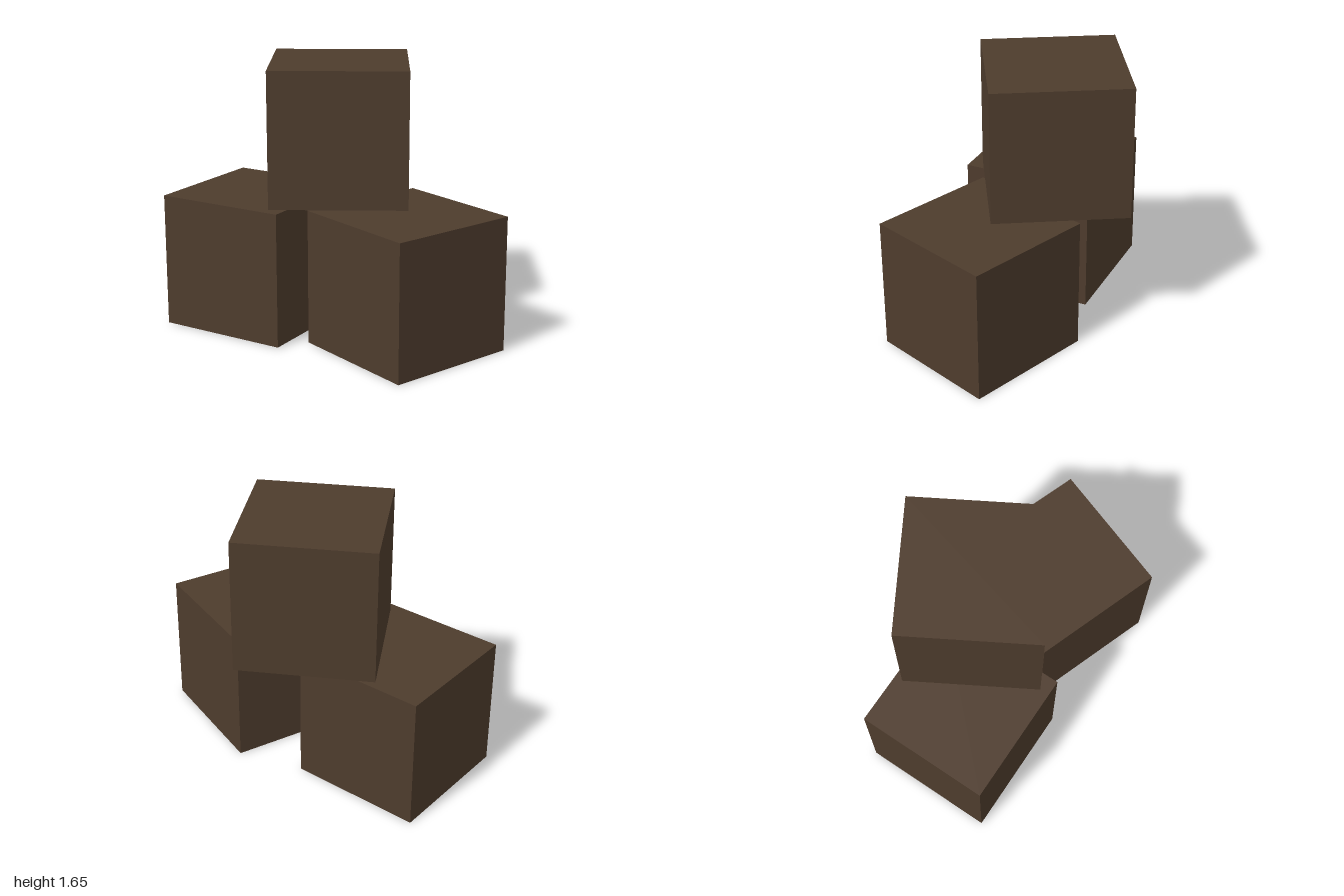
import * as THREE from 'three';

const SIDE = 0.827;

// Cube shell without its underside
function openCube() {
  const geometry = new THREE.BoxGeometry(SIDE, SIDE, SIDE);
  const index = Array.from(geometry.index.array);
  index.splice(18, 6); // drop the downward face
  geometry.setIndex(index);
  geometry.clearGroups();
  geometry.translate(0, SIDE / 2, 0);
  return geometry;
}

export function createModel() {
  const group = new THREE.Group();
  group.name = 'crateStack';

  const darkBrown = new THREE.MeshStandardMaterial({ color: 0x4e3c2d, side: THREE.DoubleSide });
  darkBrown.name = 'darkBrown';

  const geometry = openCube();

  // name, x, y, z, turn in degrees
  const crates = [
    ['rightCrate', -0.587, 0, 0.12, 0],
    ['leftCrate', 0.468, 0, 0.12, -20],
    ['topCrate', -0.118, SIDE, -0.091, 30],
  ];
  for (const [name, x, y, z, turn] of crates) {
    const crate = new THREE.Mesh(geometry, darkBrown);
    crate.name = name;
    crate.position.set(x, y, z);
    crate.rotation.y = THREE.MathUtils.degToRad(turn);
    group.add(crate);
  }
  return group;
}
